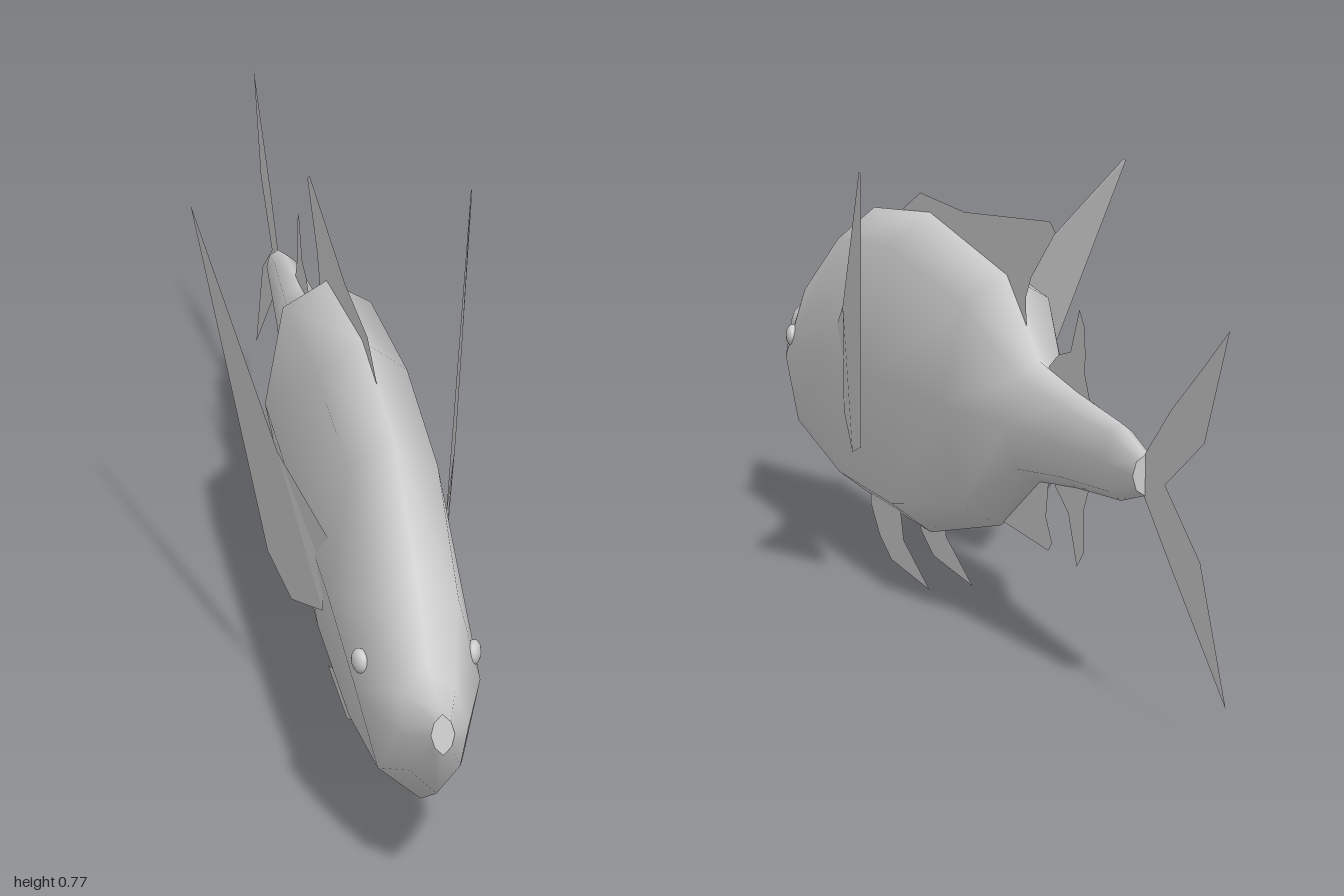
import * as THREE from 'three';

const grey = new THREE.MeshStandardMaterial({ color: 0xcccccc });
const thin = new THREE.MeshStandardMaterial({ color: 0xcccccc, side: THREE.DoubleSide });

function add(group, name, geometry, material) {
  const mesh = new THREE.Mesh(geometry, material);
  mesh.name = name;
  group.add(mesh);
  return mesh;
}

// Eight-sided body sections, nose to tail:
// [top z, top y, bottom z, bottom y, half width, shoulder drop, shoulder width]
const SECTIONS = [
  [0.985, 0.372, 0.998, 0.31, 0.018, 0.2, 0.7],
  [0.866, 0.386, 0.946, 0.214, 0.055, 0.2, 0.7],
  [0.753, 0.493, 0.818, 0.129, 0.096, 0.15, 0.68],
  [0.555, 0.617, 0.555, 0.08, 0.102, 0.1, 0.68],
  [0.26, 0.647, 0.26, 0.078, 0.106, 0.1, 0.69],
  [-0.11, 0.592, -0.08, 0.162, 0.109, 0.1, 0.69],
  [-0.26, 0.472, -0.26, 0.273, 0.057, 0.12, 0.7],
  [-0.42, 0.45, -0.42, 0.295, 0.041, 0.13, 0.7],
  [-0.6, 0.434, -0.6, 0.311, 0.028, 0.13, 0.7],
  [-0.695, 0.402, -0.695, 0.338, 0.021, 0.15, 0.7],
];

function bodyGeometry() {
  const positions = [], index = [], n = SECTIONS.length;
  // The first and last rings are doubled so the end caps stay crisp
  for (const [tz, ty, bz, by, w, drop, sw] of [SECTIONS[0], ...SECTIONS, SECTIONS[n - 1]]) {
    const ring = [[0, 0], [sw, drop], [1, 0.5], [sw, 1 - drop], [0, 1], [-sw, 1 - drop], [-1, 0.5], [-sw, drop]];
    for (const [x, t] of ring) positions.push(x * w, ty + (by - ty) * t, tz + (bz - tz) * t);
  }
  for (let i = 1; i < n; i++) {
    for (let j = 0; j < 8; j++) {
      const a = i * 8 + j, b = i * 8 + (j + 1) % 8;
      index.push(a, b, a + 8, b, b + 8, a + 8);
    }
  }
  const last = (n + 1) * 8;
  for (let j = 1; j < 7; j++) {
    index.push(0, j + 1, j, last, last + j, last + j + 1);
  }
  const g = new THREE.BufferGeometry();
  g.setAttribute('position', new THREE.Float32BufferAttribute(positions, 3));
  g.setIndex(index);
  g.computeVertexNormals();
  return g;
}

// Flat upright fin from a [z, y] outline
function finGeometry(outline) {
  const shape = new THREE.Shape(outline.map(([z, y]) => new THREE.Vector2(z, y)));
  return new THREE.ShapeGeometry(shape).rotateY(-Math.PI / 2);
}

const FINS = {
  dorsalFin: [[0.4, 0.635], [0.31, 0.675], [0.09, 0.67], [-0.3, 0.707], [-0.325, 0.692], [-0.22, 0.605],
    [-0.196, 0.568], [-0.2, 0.5], [-0.1, 0.55], [0.26, 0.62]],
  rearDorsalFin: [[-0.27, 0.44], [-0.3, 0.472], [-0.34, 0.497], [-0.39, 0.51], [-0.427, 0.584], [-0.448, 0.56],
    [-0.453, 0.515], [-0.45, 0.485], [-0.475, 0.44]],
  analFin: [[-0.07, 0.19], [-0.09, 0.172], [-0.298, 0.166], [-0.314, 0.182], [-0.287, 0.22], [-0.3, 0.29], [-0.24, 0.31]],
  rearAnalFin: [[-0.31, 0.3], [-0.33, 0.277], [-0.383, 0.247], [-0.42, 0.166], [-0.448, 0.193], [-0.448, 0.263], [-0.475, 0.31]],
  tailFin: [[-0.69, 0.4], [-0.79, 0.488], [-0.91, 0.575], [-1, 0.643], [-0.914, 0.461], [-0.77, 0.37], [-0.903, 0.279],
    [-1, 0.08], [-0.79, 0.252], [-0.69, 0.337]],
};
const PELVIC = [[0.465, 0.12], [0.465, 0.09], [0.42, 0.043], [0.357, 0.011], [0.158, 0], [0.29, 0.06], [0.31, 0.12]];

// Swept side fin, a fan of triangles around its front upper corner
function pectoralGeometry(side) {
  const rim = [[0.092, 0.418, 0.496], [0.094, 0.34, 0.46], [0.095, 0.268, 0.453], [0.125, 0.22, 0.319],
    [0.148, 0.252, 0.206], [0.235, 0.765, -0.055], [0.235, 0.767, -0.045]];
  const points = [[0.145, 0.483, 0.308], ...rim];
  const positions = [];
  for (let i = 1; i < rim.length; i++) {
    for (const k of [0, i, i + 1]) positions.push(points[k][0] * side, points[k][1], points[k][2]);
  }
  const g = new THREE.BufferGeometry();
  g.setAttribute('position', new THREE.Float32BufferAttribute(positions, 3));
  g.computeVertexNormals();
  return g;
}

export function createModel() {
  const fish = new THREE.Group();
  fish.name = 'fish';
  add(fish, 'body', bodyGeometry(), grey);

  // Fins on the centre line
  for (const [name, outline] of Object.entries(FINS)) add(fish, name, finGeometry(outline), thin);

  // Paired parts
  for (const [side, label] of [[1, 'left'], [-1, 'right']]) {
    add(fish, label + 'PectoralFin', pectoralGeometry(side), thin);
    add(fish, label + 'PelvicFin', finGeometry(PELVIC), thin).position.x = side * 0.04;
    const eye = add(fish, label + 'Eye', new THREE.SphereGeometry(0.02, 16, 12), grey);
    eye.scale.x = 0.6;
    eye.rotation.y = side * -0.3;
    eye.position.set(side * 0.087, 0.352, 0.773);
  }
  return fish;
}
